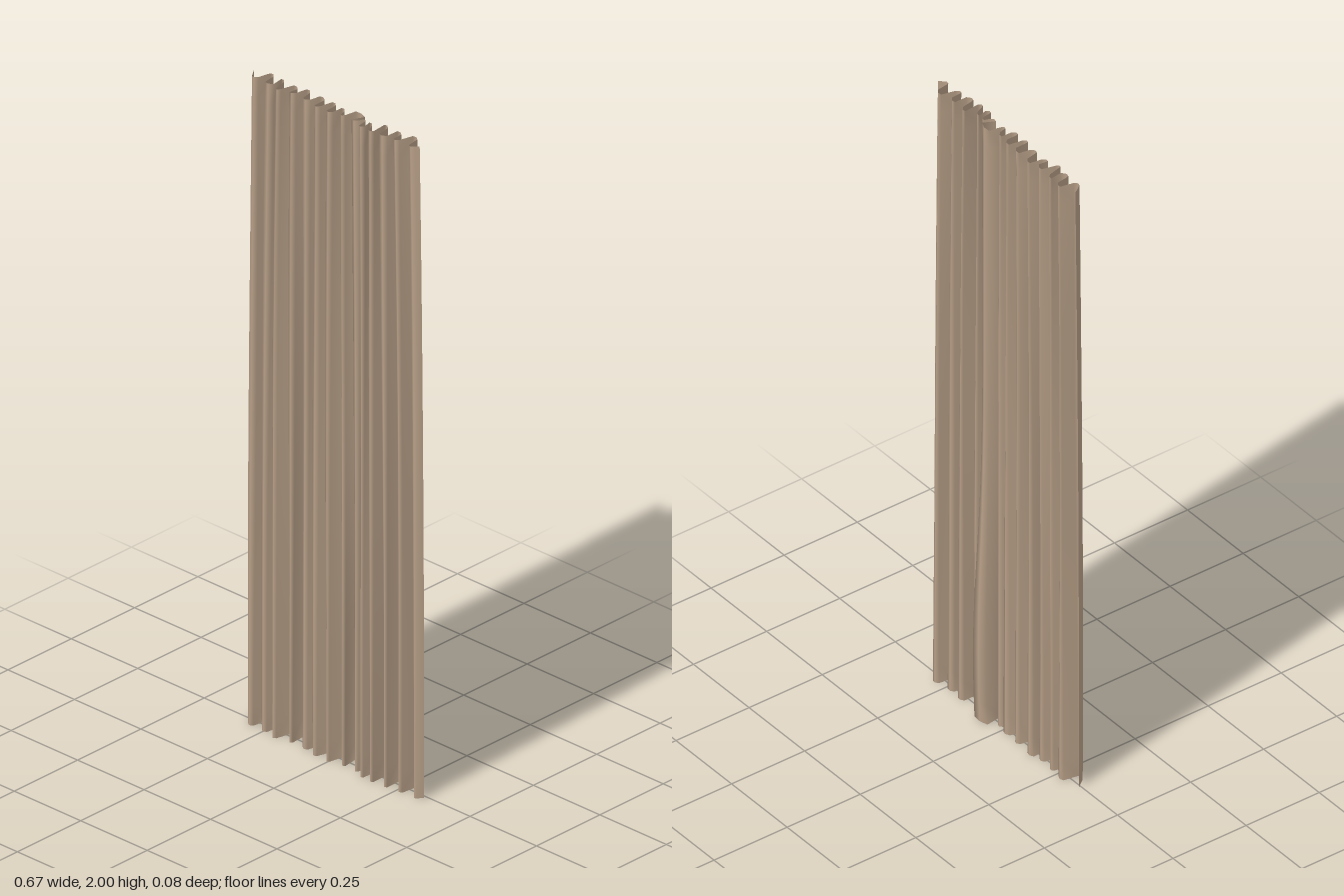
import * as THREE from 'three';

// Crests of the pleats from right to left: [x, z, half width]
const FOLDS = [
  [-0.302, 0.030, 0.010], [-0.273, -0.025, 0.010], [-0.250, 0.031, 0.011],
  [-0.225, -0.020, 0.009], [-0.204, 0.040, 0.007], [-0.175, -0.016, 0.010],
  [-0.153, 0.027, 0.008], [-0.135, -0.025, 0.012], [-0.099, 0.028, 0.010],
  [-0.071, -0.020, 0.011], [-0.053, 0.038, 0.009], [-0.019, -0.018, 0.011],
  [-0.004, 0.038, 0.008], [0.020, -0.010, 0.010], [0.044, 0.026, 0.007],
  [0.071, -0.024, 0.018], [0.092, 0.026, 0.009], [0.109, -0.002, 0.007],
  [0.126, 0.040, 0.007], [0.142, 0.000, 0.008], [0.163, 0.041, 0.008],
  [0.182, -0.021, 0.010], [0.212, 0.037, 0.010], [0.231, -0.018, 0.012],
  [0.261, 0.031, 0.009], [0.286, -0.028, 0.010], [0.315, 0.028, 0.009],
];
const ROWS = 32, HEIGHT = 2, BULGE = 15;

// Cross-section of the cloth at height y: two points and a crown per pleat
function section(y) {
  const t = y / HEIGHT;
  const spread = 1 - 0.05 * Math.pow(t, 2.2); // gathered towards the top
  const points = [[-0.335 * spread, -0.006]];
  FOLDS.forEach(([x, z, w], i) => {
    const drift = 0.004 * t * Math.sin(i * 2.4 + y * 1.7);
    const belly = i === BULGE ? Math.exp(-(((y - 0.25) / 0.45) ** 2)) : 0;
    const cx = x * spread + drift;
    const cz = z * (1 - 0.1 * t) - 0.019 * belly;
    const half = w * (1 + 0.15 * Math.sin(i * 1.9 + y * 2)) + 0.012 * belly;
    const slant = 0.004 * Math.sin(i * 3.1 + y);
    const inward = z > 0.01 ? -0.006 : 0.005;
    points.push([cx - half, cz + inward + slant], [cx, cz], [cx + half, cz + inward - slant]);
  });
  points.push([0.335 * spread, 0.008]);
  return points;
}

// Sheet skinned from the stacked cross-sections
function clothGeometry() {
  const positions = [], indices = [];
  let n = 0;
  for (let r = 0; r <= ROWS; r++) {
    const y = (HEIGHT * r) / ROWS;
    const points = section(y);
    n = points.length;
    for (const [x, z] of points) positions.push(x, y, z);
  }
  for (let r = 0; r < ROWS; r++) {
    for (let c = 0; c < n - 1; c++) {
      const a = r * n + c, b = a + 1, d = a + n, e = d + 1;
      indices.push(a, b, e, a, e, d);
    }
  }
  const geometry = new THREE.BufferGeometry();
  geometry.setAttribute('position', new THREE.Float32BufferAttribute(positions, 3));
  geometry.setIndex(indices);
  geometry.computeVertexNormals();
  return geometry;
}

export function createModel() {
  const group = new THREE.Group();
  group.name = 'curtain';
  const material = new THREE.MeshStandardMaterial({ color: 0xb8a088, side: THREE.DoubleSide });
  const cloth = new THREE.Mesh(clothGeometry(), material);
  cloth.name = 'pleatedCloth';
  group.add(cloth);
  return group;
}
